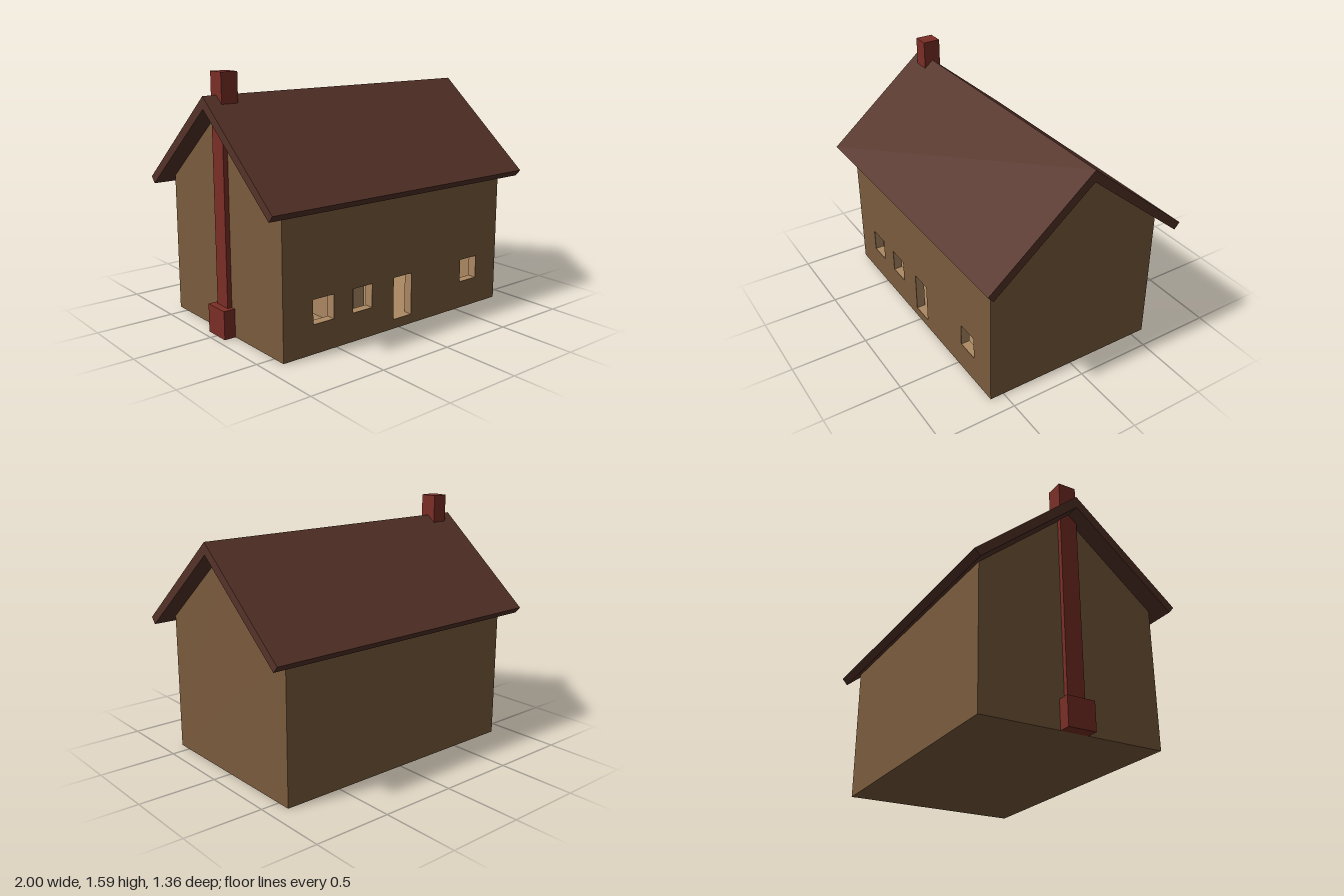
import * as THREE from 'three';

const mat = (name, color) => {
  const m = new THREE.MeshStandardMaterial({ color });
  m.name = name;
  return m;
};

export function createModel() {
  const house = new THREE.Group();
  house.name = 'house';

  const wallMat = mat('brown wall', 0x7a5b3d);
  const roomMat = mat('light brown interior', 0xab8862);
  const roofMat = mat('dark roof', 0x543228);
  const brickMat = mat('red brick', 0x7a2e26);

  const add = (name, geometry, material) => {
    const mesh = new THREE.Mesh(geometry, material);
    mesh.name = name;
    house.add(mesh);
    return mesh;
  };

  // Box given by its limits on each axis
  const box = (name, material, [x0, x1], [y0, y1], [z0, z1]) => {
    const g = new THREE.BoxGeometry(x1 - x0, y1 - y0, z1 - z0);
    g.translate((x0 + x1) / 2, (y0 + y1) / 2, (z0 + z1) / 2);
    return add(name, g, material);
  };

  const polygon = pts => new THREE.Shape(pts.map(([x, y]) => new THREE.Vector2(x, y)));
  const extrude = (shape, depth) =>
    new THREE.ExtrudeGeometry(shape, { depth, bevelEnabled: false });

  const SKIN = 0.005;

  // Front wall: outer skin and light lining, both cut by the openings
  const openings = [
    [-0.67, -0.52, 0.18, 0.33],
    [-0.375, -0.225, 0.18, 0.33],
    [-0.05, 0.10, 0.06, 0.33], // doorway
    [0.54, 0.69, 0.18, 0.33],
  ];
  const frontShape = polygon([[-0.875, 0], [0.875, 0], [0.875, 0.89], [-0.875, 0.89]]);
  for (const [x0, x1, y0, y1] of openings) {
    frontShape.holes.push(new THREE.Path(
      [[x0, y0], [x0, y1], [x1, y1], [x1, y0]].map(p => new THREE.Vector2(...p))));
  }
  add('frontWall', extrude(frontShape, SKIN).translate(0, 0, 0.585), wallMat);
  add('frontWallLining', extrude(frontShape, 0.055).translate(0, 0, 0.53), roomMat);

  // Back wall
  box('backWall', wallMat, [-0.875, 0.875], [0, 0.89], [-0.59, -0.585]);
  box('backWallLining', roomMat, [-0.875, 0.875], [0.005, 0.89], [-0.585, -0.53]);

  // Gable walls at both ends
  const gable = (half, eave, bottom) => polygon([
    [-half, bottom], [half, bottom], [half, eave], [0, 1.38], [-half, eave]]);
  for (const [side, s] of [['left', 1], ['right', -1]]) {
    const turn = s * Math.PI / 2;
    add(side + 'Gable', extrude(gable(0.59, 0.89, 0), SKIN)
      .translate(0, 0, 0.875).rotateY(turn), wallMat);
    add(side + 'GableLining', extrude(gable(0.53, 0.94, 0.005), 0.055)
      .translate(0, 0, 0.82).rotateY(turn), roomMat);
  }

  // Floor, ceiling and inner partitions
  box('base', wallMat, [-0.875, 0.875], [0, 0.005], [-0.585, 0.585]);
  box('floor', roomMat, [-0.82, 0.82], [0.005, 0.06], [-0.53, 0.53]);
  box('ceiling', roomMat, [-0.82, 0.82], [0.42, 0.48], [-0.53, 0.53]);
  box('partition', roomMat, [-0.37, -0.31], [0.06, 0.42], [-0.53, 0.52]);
  box('hallPartition', roomMat, [-0.31, -0.09], [0.06, 0.42], [0.30, 0.36]);

  // Pitched roof: one chevron run along the length
  const chevron = polygon([
    [0, 1.455], [-0.68, 0.885], [-0.645, 0.845], [0, 1.38], [0.645, 0.845], [0.68, 0.885]]);
  add('roof', extrude(chevron, 2).translate(0, 0, -1).rotateY(Math.PI / 2), roofMat);

  // Chimney on the right end
  box('chimneyShaft', brickMat, [-0.91, -0.80], [0, 1.59], [-0.058, 0.058]);
  box('chimneyBase', brickMat, [-0.955, -0.86], [0, 0.18], [-0.09, 0.09]);

  return house;
}
